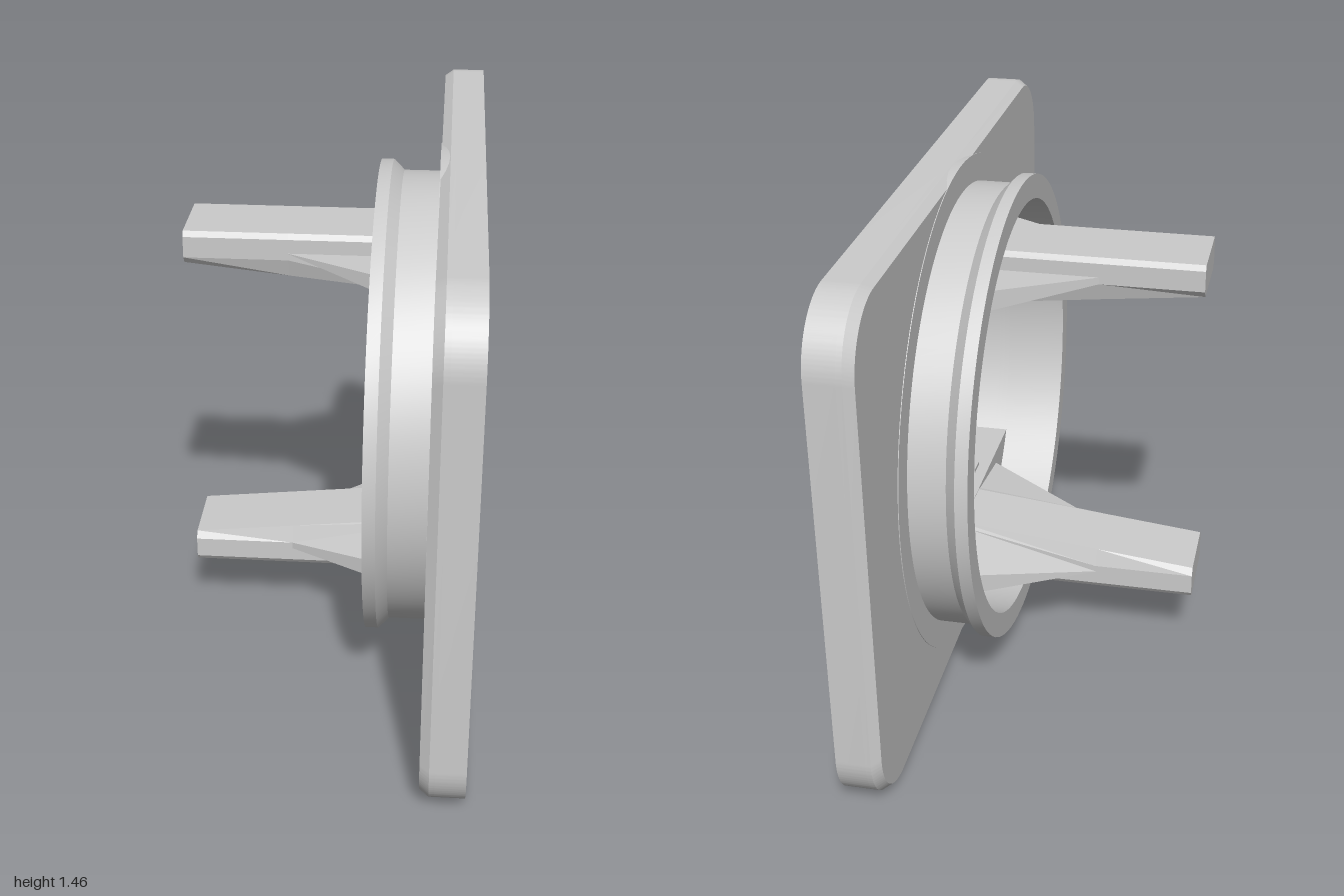
import * as THREE from 'three';
import { toCreasedNormals } from 'three/addons/utils/BufferGeometryUtils.js';

const CY = 0.73; // height of the opening's axis
const OPEN_R = 0.61, OPEN_H = 0.363;

const material = new THREE.MeshStandardMaterial({ color: 0xcccccc });
const flatMaterial = new THREE.MeshStandardMaterial({ color: 0xcccccc, flatShading: true });

function addMesh(parent, name, geometry, mat = material) {
  const mesh = new THREE.Mesh(geometry, mat);
  mesh.name = name;
  parent.add(mesh);
  return mesh;
}

function roundedRect(w, h, r) {
  const s = new THREE.Shape();
  s.absarc(w - r, h - r, r, 0, Math.PI / 2);
  s.absarc(-w + r, h - r, r, Math.PI / 2, Math.PI);
  s.absarc(-w + r, -h + r, r, Math.PI, Math.PI * 1.5);
  s.absarc(w - r, -h + r, r, Math.PI * 1.5, Math.PI * 2);
  return s;
}

function rect(Type, z0, z1, y0, y1) {
  return new Type([[z0, y0], [z1, y0], [z1, y1], [z0, y1]].map(([z, y]) => new THREE.Vector2(z, y)));
}

// Circle cut flat at the top and bottom
function opening() {
  const t = Math.asin(OPEN_H / OPEN_R);
  const p = new THREE.Path();
  p.absarc(0, 0, OPEN_R, -t, t);
  p.absarc(0, 0, OPEN_R, Math.PI - t, Math.PI + t);
  p.closePath();
  return p;
}

// Extrude an outline along x; taper pulls in the outer outline at the back
function slab(shape, x0, x1, taper = 0) {
  const g = new THREE.ExtrudeGeometry(shape, { depth: x1 - x0, bevelEnabled: false, curveSegments: 24 });
  const p = g.attributes.position;
  for (let i = 0; taper && i < p.count; i++) {
    const u = p.getX(i), v = p.getY(i);
    if (p.getZ(i) < 1e-6 && (Math.abs(u) > 0.75 || Math.abs(v) > 0.5)) {
      p.setXY(i, u * (1 - taper), v * (1 - taper / CY));
    }
  }
  g.rotateY(Math.PI / 2);
  g.translate(x0, 0, 0);
  return toCreasedNormals(g, 0.5);
}

// Mirror half a cross-section (z, y) and join the sections along x
function loft(sections) {
  const rings = sections.map(([x, half]) => [
    ...half.map(([z, y]) => [x, y - CY, z]),
    ...half.slice().reverse().map(([z, y]) => [x, y - CY, -z]),
  ]);
  const n = rings[0].length, out = [];
  for (let s = 0; s < rings.length - 1; s++) {
    for (let i = 0; i < n; i++) {
      const j = (i + 1) % n;
      const a = rings[s][i], b = rings[s][j], c = rings[s + 1][i], d = rings[s + 1][j];
      out.push(...a, ...c, ...b, ...b, ...c, ...d);
    }
  }
  for (let i = 1; i < n - 1; i++) out.push(...rings[0][0], ...rings[0][i], ...rings[0][i + 1]);
  const g = new THREE.BufferGeometry();
  g.setAttribute('position', new THREE.Float32BufferAttribute(out, 3));
  g.computeVertexNormals();
  return g;
}

export function createModel() {
  const model = new THREE.Group();
  model.name = 'mountingFrame';
  const body = new THREE.Group();
  body.name = 'body';
  body.position.y = CY;
  model.add(body);

  // Face plate with a rectangular groove around the opening
  const plate = roundedRect(1, CY, 0.18);
  plate.holes.push(opening());
  addMesh(body, 'plateBackBevel', slab(plate, 0.29, 0.315, 0.015));
  addMesh(body, 'grooveFloor', slab(plate, 0.315, 0.33));

  const rim = roundedRect(1, CY, 0.18);
  rim.holes.push(rect(THREE.Path, -0.82, 0.82, -0.53, 0.53));
  addMesh(body, 'plateRim', slab(rim, 0.33, 0.41));

  const block = rect(THREE.Shape, -0.74, 0.74, -0.465, 0.46);
  block.holes.push(opening());
  addMesh(body, 'innerFrame', slab(block, 0.33, 0.41));

  // Round collar with a flared lip and a thin seat against the plate
  const profile = [
    [0.61, 0.3], [0.61, 0.12], [0.68, 0.12], [0.68, 0.155],
    [0.65, 0.185], [0.65, 0.288], [0.729, 0.288], [0.729, 0.315],
  ].map(([r, x]) => new THREE.Vector2(r, x));
  const collar = new THREE.LatheGeometry(profile, 96);
  collar.rotateZ(-Math.PI / 2);
  addMesh(body, 'collar', toCreasedNormals(collar, 0.4));

  // Arms with side gussets that widen towards the plate
  const foot = [[0.105, 0.195], [0.115, 0.21], [0.115, 0.25]];
  const armGeometry = loft([
    [-0.41, [...foot, [0.115, 0.25], [0.115, 0.25], [0.115, 0.27], [0.1, 0.29]]],
    [-0.12, [...foot, [0.115, 0.25], [0.115, 0.251], [0.115, 0.27], [0.1, 0.321]]],
    [0.3, [...foot, [0.34, 0.25], [0.34, 0.328], [0.115, 0.362], [0.1, 0.366]]],
  ]);
  addMesh(body, 'lowerArm', armGeometry, flatMaterial);
  addMesh(body, 'upperArm', armGeometry, flatMaterial).rotation.x = Math.PI;

  // Small catch on the floor of the opening
  const catchBlock = addMesh(body, 'catch', new THREE.BoxGeometry(0.05, 0.03, 0.055), flatMaterial);
  catchBlock.position.set(0.35, -0.367, 0.22);

  return model;
}
